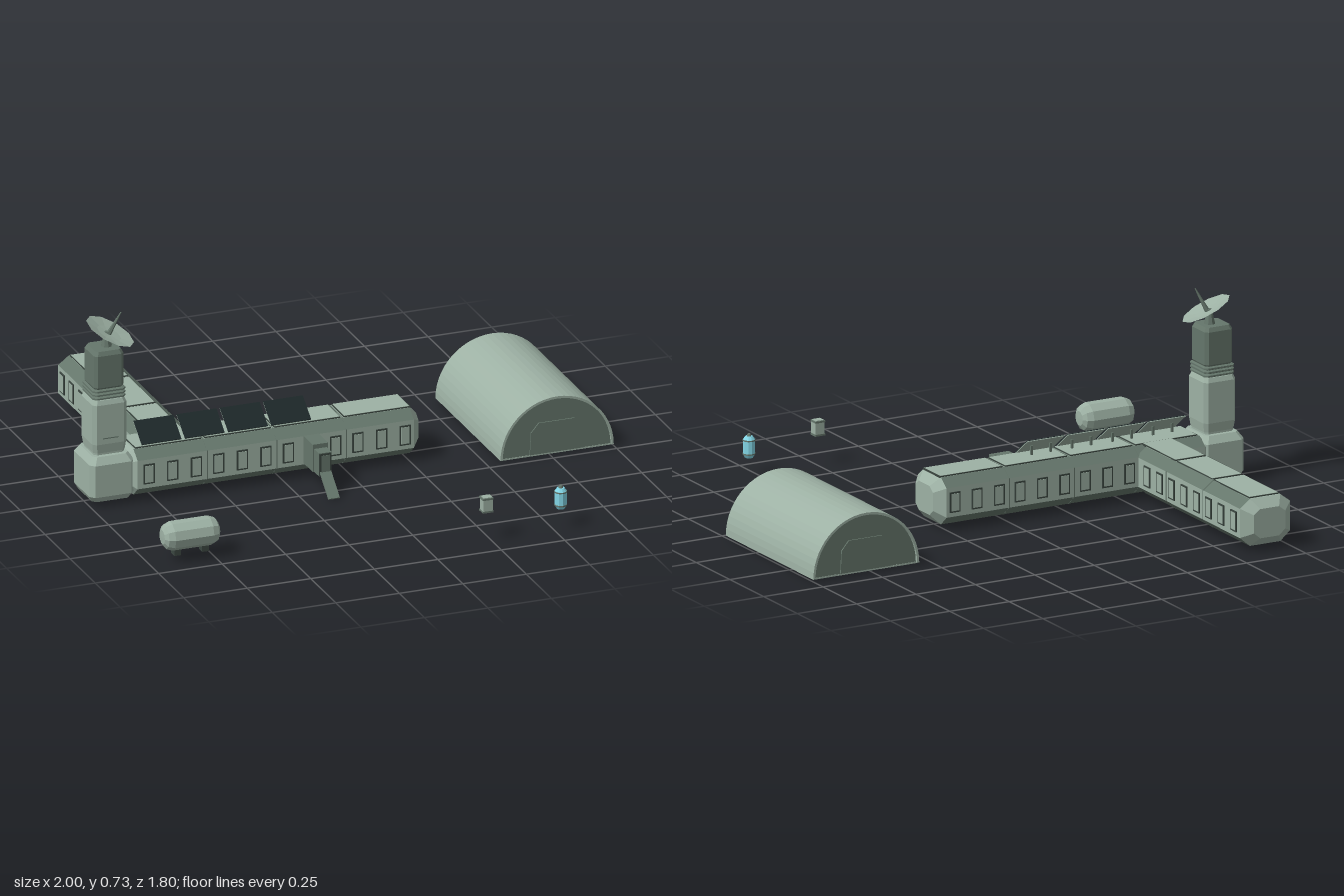
import * as THREE from 'three';

const mat = (name, color) => {
  const m = new THREE.MeshStandardMaterial({ color, flatShading: true });
  m.name = name;
  return m;
};

export function createModel() {
  const root = new THREE.Group();
  root.name = 'outpost';
  const light = mat('pale green panel', 0x9db1a4);
  const dark = mat('dark green panel', 0x65766b);
  const trim = mat('trim', 0x3b4640);
  const solar = mat('solar cell', 0x1d2829);
  const cyan = mat('cyan canister', 0x86dcec);

  const add = (parent, name, geo, material, x = 0, y = 0, z = 0) => {
    const m = new THREE.Mesh(geo, material);
    m.name = name;
    m.position.set(x, y, z);
    parent.add(m);
    return m;
  };
  const box = (parent, name, material, w, h, d, x, y, z) =>
    add(parent, name, new THREE.BoxGeometry(w, h, d), material, x, y, z);
  const group = (name, parent = root) => {
    const g = new THREE.Group();
    g.name = name;
    parent.add(g);
    return g;
  };

  // Joins scaled copies [z, scale] of an outline along z; materials are picked per face
  function loft(outline, sections, pick = () => 0) {
    const n = outline.length, faces = [[], []];
    const rings = sections.map(([z, s]) => outline.map(([x, y]) => [x * s, y * s, z]));
    for (let k = 0; k + 1 < rings.length; k++) {
      for (let i = 0; i < n; i++) {
        const j = (i + 1) % n, a = rings[k], b = rings[k + 1];
        faces[pick(k, i)].push(a[i], a[j], b[j], a[i], b[j], b[i]);
      }
    }
    const first = rings[0], last = rings[rings.length - 1];
    for (let i = 1; i < n - 1; i++) {
      faces[0].push(first[0], first[i + 1], first[i], last[0], last[i], last[i + 1]);
    }
    const geo = new THREE.BufferGeometry();
    geo.setAttribute('position', new THREE.Float32BufferAttribute([...faces[0], ...faces[1]].flat(), 3));
    geo.addGroup(0, faces[0].length, 0);
    geo.addGroup(faces[0].length, faces[1].length, 1);
    geo.computeVertexNormals();
    return geo;
  }

  // Habitat corridor, running along local z; only its chamfers are dark
  const MID = 0.107, MODULE = 0.274, STEP = 0.093;
  const hull = [[0.106, -0.054], [0.106, 0.058], [0.064, 0.09], [-0.064, 0.09],
    [-0.106, 0.058], [-0.106, -0.054], [-0.064, -0.09], [0.064, -0.09]];
  function corridor(name, start, count, end, skip) {
    const g = group(name);
    const tip = 0.034;
    add(g, 'hull', loft(hull, [[start - tip, 0.62], [start, 1], [end, 1], [end + tip, 0.62]],
      (k, i) => (k === 1 && i % 2 === 1 && i !== 0 ? 1 : 0)), [light, dark]);
    for (let m = 0; m < count; m++) {
      const c = start + (m + 0.5) * MODULE;
      // roof panel with a narrow dark edge
      if (!skip(0, c)) {
        box(g, 'roofFrame', trim, 0.126, 0.008, 0.262, 0, 0.09, c);
        box(g, 'roofPanel', light, 0.121, 0.009, 0.256, 0, 0.0905, c);
      }
      // seam between modules
      if (m > 0) {
        const z = start + m * MODULE;
        add(g, 'seam', loft(hull, [[z - 0.002, 1.008], [z + 0.002, 1.008]]), dark);
      }
      // windows on both walls
      for (const side of [-1, 1]) {
        for (const o of [-1, 0, 1]) {
          const z = c + o * STEP;
          if (skip(side, z)) continue;
          box(g, 'windowFrame', trim, 0.008, 0.078, 0.044, side * 0.106, 0.002, z);
          box(g, 'windowPane', light, 0.009, 0.066, 0.033, side * 0.107, 0.002, z);
        }
      }
    }
    return g;
  }
  const main = corridor('mainCorridor', -0.825, 4, 0.262, (side, p) =>
    (side === 1 && p > -0.76 && p < -0.54) || (side === -1 && Math.abs(p + 0.14) < 0.03));
  main.rotation.y = Math.PI / 2;
  main.position.set(0, MID, -0.01);
  const wing = corridor('rearCorridor', -0.87, 3, -0.1, (side, p) => p > -0.12);
  wing.position.set(-0.651, MID - 0.0005, 0);

  // Tower of square blocks with narrow chamfers
  const tower = group('tower');
  tower.position.set(-0.917, 0, -0.008);
  const square = [[1, -0.8], [1, 0.8], [0.8, 1], [-0.8, 1], [-1, 0.8], [-1, -0.8], [-0.8, -1], [0.8, -1]];
  const block = (name, material, sections) => {
    const geo = loft(square, sections);
    geo.rotateX(-Math.PI / 2);
    geo.clearGroups();
    return add(tower, name, geo, material);
  };
  block('towerBase', light, [[0.017, 0.075], [0.04, 0.088], [0.165, 0.088], [0.192, 0.07]]).scale.z = 1.1;
  block('towerNeck', light, [[0.19, 0.06], [0.225, 0.06]]);
  block('lowerTower', light, [[0.2, 0.062], [0.235, 0.067], [0.39, 0.067], [0.407, 0.06]]);
  for (let i = 0; i < 3; i++) {
    const y = 0.407 + i * 0.014;
    block('towerRing', dark, [[y, 0.055], [y + 0.004, 0.064], [y + 0.01, 0.064], [y + 0.014, 0.055]]);
  }
  block('upperTower', dark, [[0.449, 0.055], [0.455, 0.058], [0.58, 0.058], [0.596, 0.05]]);
  box(tower, 'vent', dark, 0.06, 0.004, 0.004, 0, 0.258, 0.067);

  // Dish antenna
  add(tower, 'mast', new THREE.CylinderGeometry(0.008, 0.022, 0.06, 8), dark, 0.01, 0.622, 0);
  const dish = group('dish', tower);
  dish.position.set(0.017, 0.643, 0.005);
  dish.quaternion.setFromUnitVectors(new THREE.Vector3(0, 1, 0), new THREE.Vector3(0.42, 0.9, 0.2).normalize());
  const bowl = [[0.001, 0], [0.05, 0.003], [0.099, 0.011]].map(p => new THREE.Vector2(...p));
  const bowlMat = mat('dish panel', 0x9db1a4);
  bowlMat.side = THREE.DoubleSide;
  add(dish, 'reflector', new THREE.LatheGeometry(bowl, 10), bowlMat);
  add(dish, 'feed', new THREE.CylinderGeometry(0.002, 0.01, 0.098, 6), dark, 0, 0.049, 0);

  // Row of tilted solar panels
  for (let i = 0; i < 4; i++) {
    const p = group('solarPanel');
    p.position.set(-0.712 + i * 0.17, 0.236, 0.006);
    const tilt = group('tiltedPanel', p);
    tilt.rotation.x = 0.65;
    box(tilt, 'cells', solar, 0.156, 0.003, 0.104, 0, 0.002, 0);
    box(tilt, 'backing', light, 0.156, 0.003, 0.104, 0, -0.001, 0);
    for (const x of [-0.04, 0.04]) box(p, 'strut', dark, 0.008, 0.044, 0.008, x, -0.022, -0.006);
  }

  // Airlock with ramp
  const airlock = group('airlock');
  airlock.position.x = -0.142;
  box(airlock, 'vestibule', dark, 0.06, 0.108, 0.1, 0, 0.112, 0.138);
  box(airlock, 'porch', dark, 0.05, 0.09, 0.06, 0, 0.104, 0.207);
  box(airlock, 'doorFrame', trim, 0.048, 0.086, 0.004, 0, 0.104, 0.238);
  box(airlock, 'door', dark, 0.034, 0.072, 0.005, 0, 0.104, 0.239);
  box(airlock, 'ramp', dark, 0.044, 0.007, 0.122, 0, 0.04, 0.278).rotation.x = 0.7;

  // Hangar: arched shell, inset end walls, doors
  const hangar = group('hangar');
  hangar.position.set(0.775, 0.006, -0.1);
  const arch = new THREE.Shape();
  arch.absarc(0, 0, 0.223, 0, Math.PI, false);
  arch.absarc(0, 0, 0.214, Math.PI, 0, true);
  const wall = new THREE.Shape();
  wall.absarc(0, 0, 0.216, 0, Math.PI, false);
  const extrude = (s, depth) =>
    new THREE.ExtrudeGeometry(s, { depth, bevelEnabled: false, curveSegments: 14 }).translate(0, 0, -depth / 2);
  add(hangar, 'shell', extrude(arch, 0.65), light);
  add(hangar, 'endWalls', extrude(wall, 0.63), dark);
  box(hangar, 'floor', light, 0.436, 0.006, 0.632, 0, -0.001, 0);
  const door = new THREE.Shape([[-0.105, 0.003], [0.105, 0.003], [0.1, 0.09], [0.07, 0.125], [-0.07, 0.125], [-0.1, 0.09]]
    .map(p => new THREE.Vector2(...p)));
  for (const s of [-1, 1]) add(hangar, 'hangarDoor', extrude(door, 0.008), dark, 0, 0, s * 0.316);

  // Storage tank on feet
  const tank = group('tank');
  tank.position.set(-0.834, 0.091, 0.64);
  const tankProfile = [[0, -0.11], [0.028, -0.109], [0.046, -0.098], [0.055, -0.075], [0.055, 0.075],
    [0.046, 0.098], [0.028, 0.109], [0, 0.11]].map(p => new THREE.Vector2(...p));
  add(tank, 'vessel', new THREE.LatheGeometry(tankProfile, 10), light).rotation.z = Math.PI / 2;
  for (const x of [-0.055, 0.055]) box(tank, 'foot', trim, 0.026, 0.03, 0.034, x, -0.06, 0);

  // Small canister
  const canister = group('canister');
  canister.position.set(0.536, 0.11, 0.867);
  const can = (name, m, rt, rb, h, y) => add(canister, name, new THREE.CylinderGeometry(rt, rb, h, 10), m, 0, y, 0);
  can('canisterBody', cyan, 0.023, 0.023, 0.056, 0);
  can('canisterShoulder', cyan, 0.014, 0.023, 0.013, 0.0345);
  can('canisterBase', cyan, 0.023, 0.015, 0.013, -0.0345);
  can('valve', dark, 0.006, 0.009, 0.01, 0.045);
  for (const y of [-0.026, 0.026]) can('band', dark, 0.024, 0.024, 0.005, y);

  // Crate
  const crate = group('crate');
  crate.position.set(0.238, 0.136, 0.881);
  box(crate, 'crateBody', light, 0.038, 0.05, 0.034, 0, 0, 0);
  for (const y of [-0.025, 0.025]) box(crate, 'crateRim', dark, 0.042, 0.007, 0.038, 0, y, 0);
  box(crate, 'crateLid', light, 0.034, 0.003, 0.03, 0, 0.029, 0);

  return root;
}
